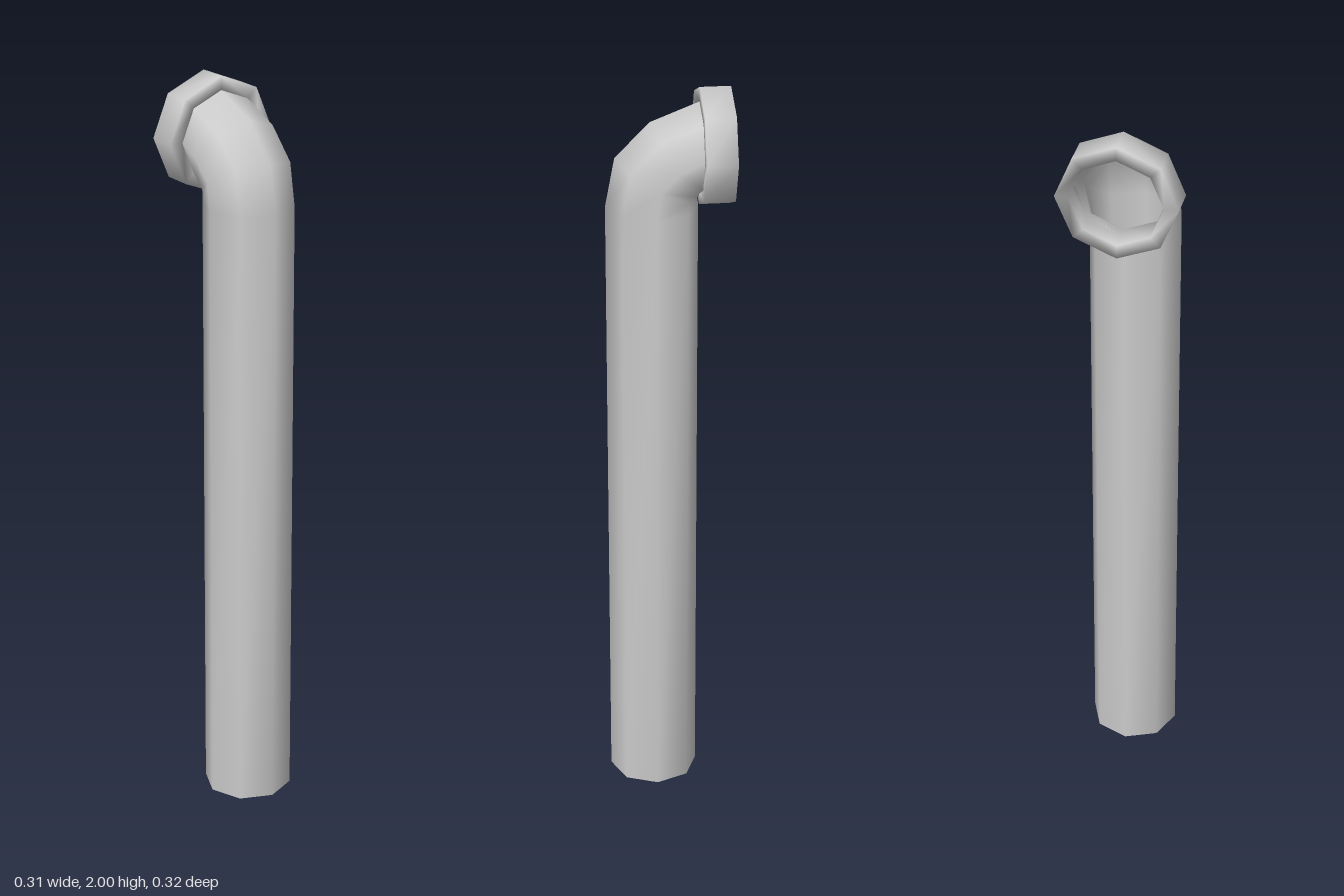
import * as THREE from 'three';
import { mergeVertices } from 'three/addons/utils/BufferGeometryUtils.js';

const SIDES = 8;
const PIPE_RADIUS = 0.12;

// Share vertices so the shading runs smoothly across every edge
function smooth(geometry) {
  geometry.deleteAttribute('normal');
  geometry.deleteAttribute('uv');
  const merged = mergeVertices(geometry, 1e-4);
  merged.computeVertexNormals();
  return merged;
}

// Octagonal rings joined along the pipe; each is [outer z, outer y, tilt in degrees]
function pipeGeometry(rings) {
  const positions = [];
  const index = [];
  rings.forEach(([z, y, tilt], r) => {
    const a = THREE.MathUtils.degToRad(tilt);
    for (let i = 0; i < SIDES; i++) {
      const t = (i / SIDES) * Math.PI * 2;
      const along = PIPE_RADIUS * (Math.cos(t) - 1);
      positions.push(PIPE_RADIUS * Math.sin(t), y + along * Math.sin(a), z + along * Math.cos(a));
      if (r === 0) continue;
      const j = (i + 1) % SIDES;
      const low = (r - 1) * SIDES;
      const high = r * SIDES;
      index.push(low + i, low + j, high + j, low + i, high + j, high + i);
    }
  });
  const geometry = new THREE.BufferGeometry();
  geometry.setAttribute('position', new THREE.Float32BufferAttribute(positions, 3));
  geometry.setIndex(index);
  geometry.computeVertexNormals();
  return geometry;
}

export function createModel() {
  const group = new THREE.Group();
  group.name = 'bentPipe';
  const material = new THREE.MeshStandardMaterial({ color: 0xcccccc, side: THREE.DoubleSide });

  // Straight riser, three-step elbow and short stub inside the collar
  const pipe = new THREE.Mesh(pipeGeometry([
    [0.16, 0, 0],
    [0.16, 1.69, 0],
    [0.135, 1.82, 28],
    [0.045, 1.912, 58],
    [-0.085, 1.963, 90],
    [-0.115, 1.963, 90],
  ]), material);
  pipe.name = 'pipe';
  group.add(pipe);

  // Collar ring around the open upper end
  const section = [[0.12, -0.04], [0.157, -0.04], [0.157, 0.04], [0.12, 0.04], [0.12, -0.04]]
    .map(([x, y]) => new THREE.Vector2(x, y));
  const collarGeometry = smooth(new THREE.LatheGeometry(section, SIDES));
  collarGeometry.rotateX(-Math.PI / 2);
  const collar = new THREE.Mesh(collarGeometry, material);
  collar.name = 'collar';
  collar.position.set(0, 1.843, -0.122);
  group.add(collar);

  return group;
}
